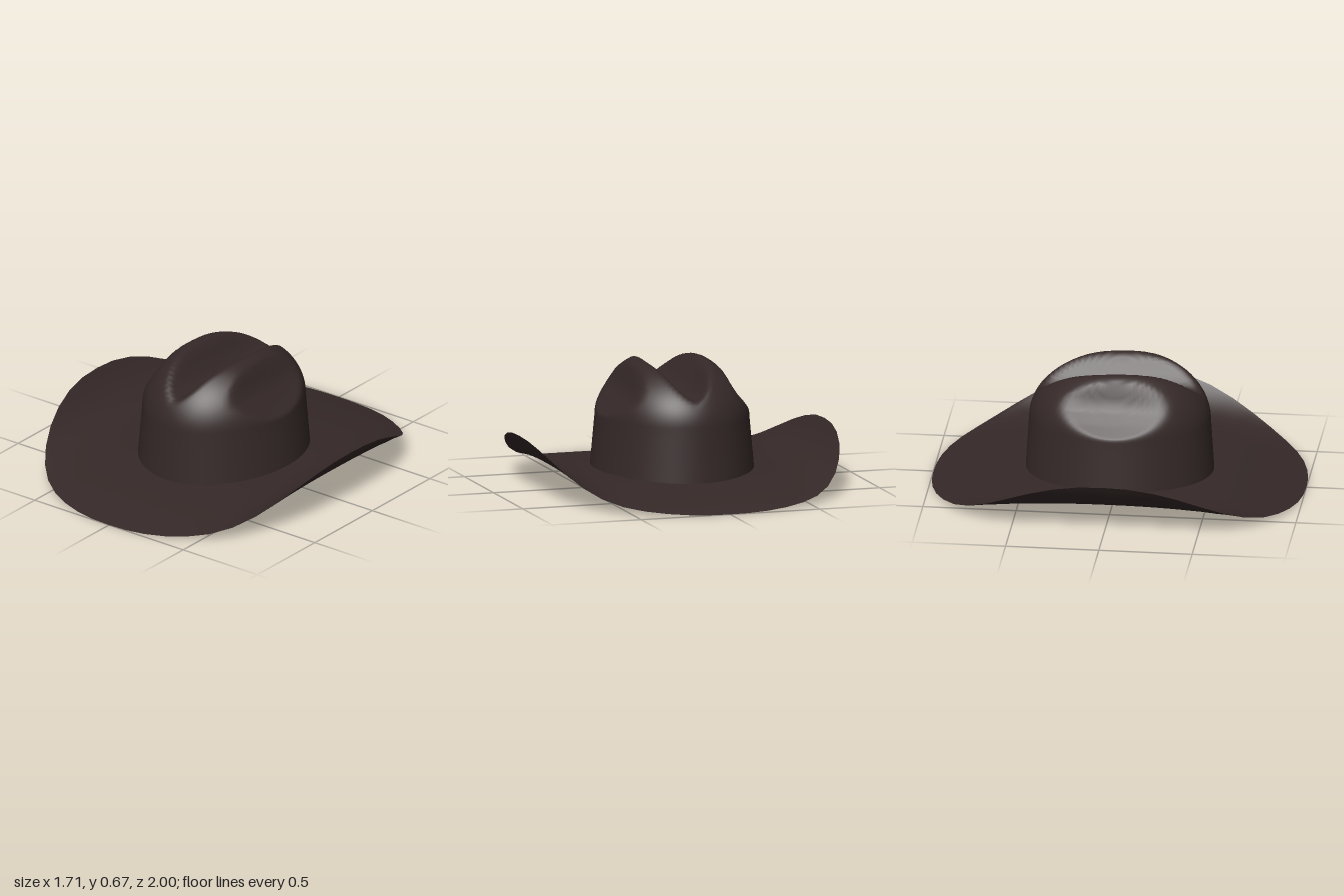
import * as THREE from 'three';

const felt = new THREE.MeshStandardMaterial({ color: 0x352928 });
felt.name = 'dark brown felt';
const leather = new THREE.MeshStandardMaterial({ color: 0xa5805f });
leather.name = 'tan leather';
const satin = new THREE.MeshStandardMaterial({ color: 0xcdc4ad });
satin.name = 'cream satin';

// Skin a list of closed loops; rows run upward or inward for an outward face.
function skin(rows, flip = false) {
  const n = rows[0].length, index = [];
  for (let i = 0; i < rows.length - 1; i++) {
    for (let j = 0; j < n; j++) {
      const k = (j + 1) % n;
      const a = i * n + j, b = (i + 1) * n + j, c = i * n + k, d = (i + 1) * n + k;
      if (flip) index.push(a, c, b, c, d, b);
      else index.push(a, b, c, c, b, d);
    }
  }
  const geo = new THREE.BufferGeometry();
  geo.setAttribute('position', new THREE.Float32BufferAttribute(rows.flat(2), 3));
  geo.setIndex(index);
  geo.computeVertexNormals();
  return geo;
}

function loop(n, pointAt) {
  return Array.from({ length: n }, (_, j) => pointAt((j / n) * Math.PI * 2));
}

function part(name, geometry, material) {
  const mesh = new THREE.Mesh(geometry, material);
  mesh.name = name;
  return mesh;
}

// Brim height: sides curl up, front and back dip down
function brimY(x, z) {
  const u = Math.max(0, (Math.abs(x) - 0.42) / 0.435);
  return 0.1 + 0.2 * u ** 3.2 - 0.1 * Math.abs(z) ** 2.4;
}

// One ring of the brim, from the oval hole (t = 0) to the squarish rim (t = 1)
function brimRow(t, drop) {
  return loop(48, (a) => {
    const c = Math.cos(a), s = Math.sin(a);
    const r = (Math.abs(c) ** 2.3 + Math.abs(s) ** 2.3) ** (-1 / 2.3);
    const x = c * THREE.MathUtils.lerp(0.42, 0.855 * r, t);
    const z = s * THREE.MathUtils.lerp(0.492, r, t);
    return [x, brimY(x, z) - drop * (1 - t ** 4), z];
  });
}

// Cross-section of the creased top: centre groove, two ridges, side dents
const CREASE = [[0, 0.515], [0.04, 0.535], [0.08, 0.58], [0.13, 0.655], [0.165, 0.685], [0.2, 0.68],
  [0.23, 0.65], [0.25, 0.575], [0.28, 0.515], [0.34, 0.45], [0.41, 0.38]];

function creaseY(x) {
  const ax = Math.min(Math.abs(x), 0.4099);
  const i = CREASE.findIndex((p) => p[0] > ax);
  const [x0, y0] = CREASE[i - 1], [x1, y1] = CREASE[i];
  return y0 + ((y1 - y0) * (ax - x0)) / (x1 - x0);
}

// Crown top height: a dome cut by the crease, a little lower at the back
function crownY(x, z, s) {
  const dome = 0.36 + 0.36 * Math.sqrt(Math.max(0, 1 - s * s));
  const cut = creaseY(x), k = 0.04;
  const h = Math.max(0, k - Math.abs(dome - cut)) / k;
  return Math.min(dome, cut) - (h * h * k) / 4 + 0.05 * (z - 0.15) * (1 - s * s);
}

// Crown wall ring between the brim (f = 0) and the shoulder (f = 1)
function wallRow(f, inset) {
  return loop(96, (a) => {
    const x = Math.cos(a) * (0.43 - 0.025 * f - inset);
    const z = Math.sin(a) * (0.503 - 0.018 * f - inset);
    const top = crownY(0.405 * Math.cos(a), 0.485 * Math.sin(a), 1) - inset;
    return [x, THREE.MathUtils.lerp(brimY(x, z) - 0.004, top, f), z];
  });
}

function crownRows(from, inset) {
  const rows = [];
  for (let i = 0; i <= 5; i++) rows.push(wallRow(from + ((1 - from) * i) / 5, inset));
  const n = 28;
  for (let i = n - 1; i >= 0; i--) {
    const s = Math.sin((i / n) * Math.PI / 2);
    rows.push(loop(96, (a) => {
      const x = 0.405 * s * Math.cos(a), z = 0.485 * s * Math.sin(a);
      return [x * (1 - inset / 0.405), crownY(x, z, s) - inset, z * (1 - inset / 0.485)];
    }));
  }
  return rows;
}

export function createModel() {
  const hat = new THREE.Group();
  hat.name = 'hat';

  // Brim: two sheets that meet at a thin rim
  const steps = Array.from({ length: 23 }, (_, i) => 1 - i / 22);
  const brim = new THREE.Group();
  brim.name = 'brim';
  brim.add(
    part('brimTop', skin(steps.map((t) => brimRow(t, 0))), felt),
    part('brimUnderside', skin(steps.map((t) => brimRow(t, 0.008)), true), felt),
  );

  // Crown with its lining and sweatband facing inward
  hat.add(
    brim,
    part('crown', skin(crownRows(0, 0)), felt),
    part('lining', skin(crownRows(0.7, 0.006), true), satin),
    part('sweatband', skin([0, 0.25, 0.5, 0.75].map((f) => wallRow(f, 0.009)), true), leather),
  );
  return hat;
}
